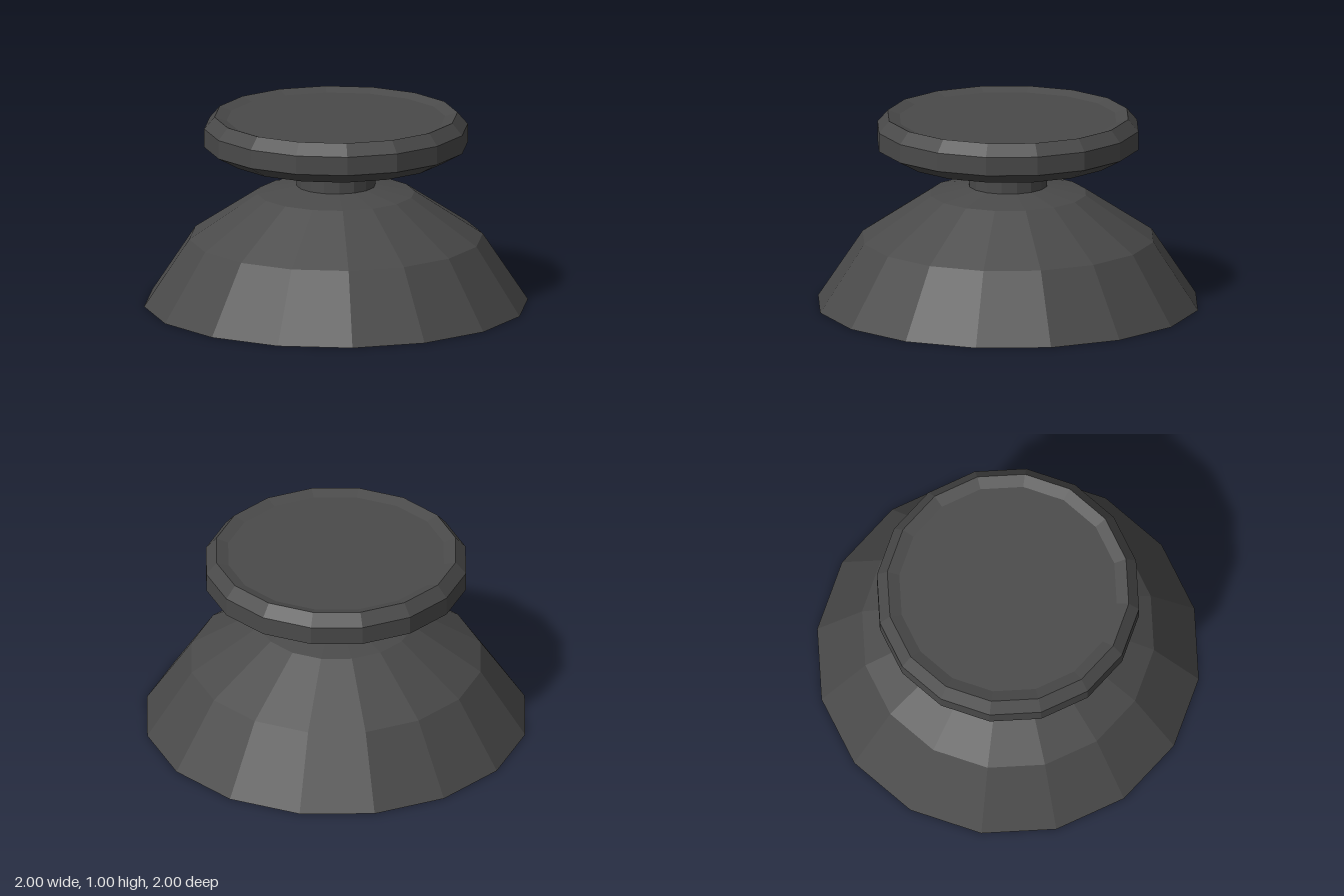
import * as THREE from 'three';

const SIDES = 16;

// Faceted turned part from [radius, height] pairs, listed bottom to top
function turned(name, profile, material) {
  const points = profile.map(([r, y]) => new THREE.Vector2(r, y));
  const mesh = new THREE.Mesh(new THREE.LatheGeometry(points, SIDES), material);
  mesh.name = name;
  return mesh;
}

export function createModel() {
  const group = new THREE.Group();
  group.name = 'suctionCup';
  const rubber = new THREE.MeshStandardMaterial({
    color: 0x4a4a4a,
    flatShading: true,
    side: THREE.DoubleSide,
  });

  // Open, thin bell with a hole at its crown
  group.add(turned('cup', [[1, 0], [0.765, 0.355], [0.41, 0.59], [0.205, 0.63]], rubber));

  // Hollow neck
  group.add(turned('neck', [[0.205, 0.63], [0.205, 0.78]], rubber));

  // Bevelled disc with a shallow dish on top
  group.add(turned('knob', [
    [0.205, 0.78], [0.57, 0.78], [0.687, 0.845], [0.687, 0.943],
    [0.633, 1.005], [0.57, 0.985], [0, 0.985],
  ], rubber));

  return group;
}
